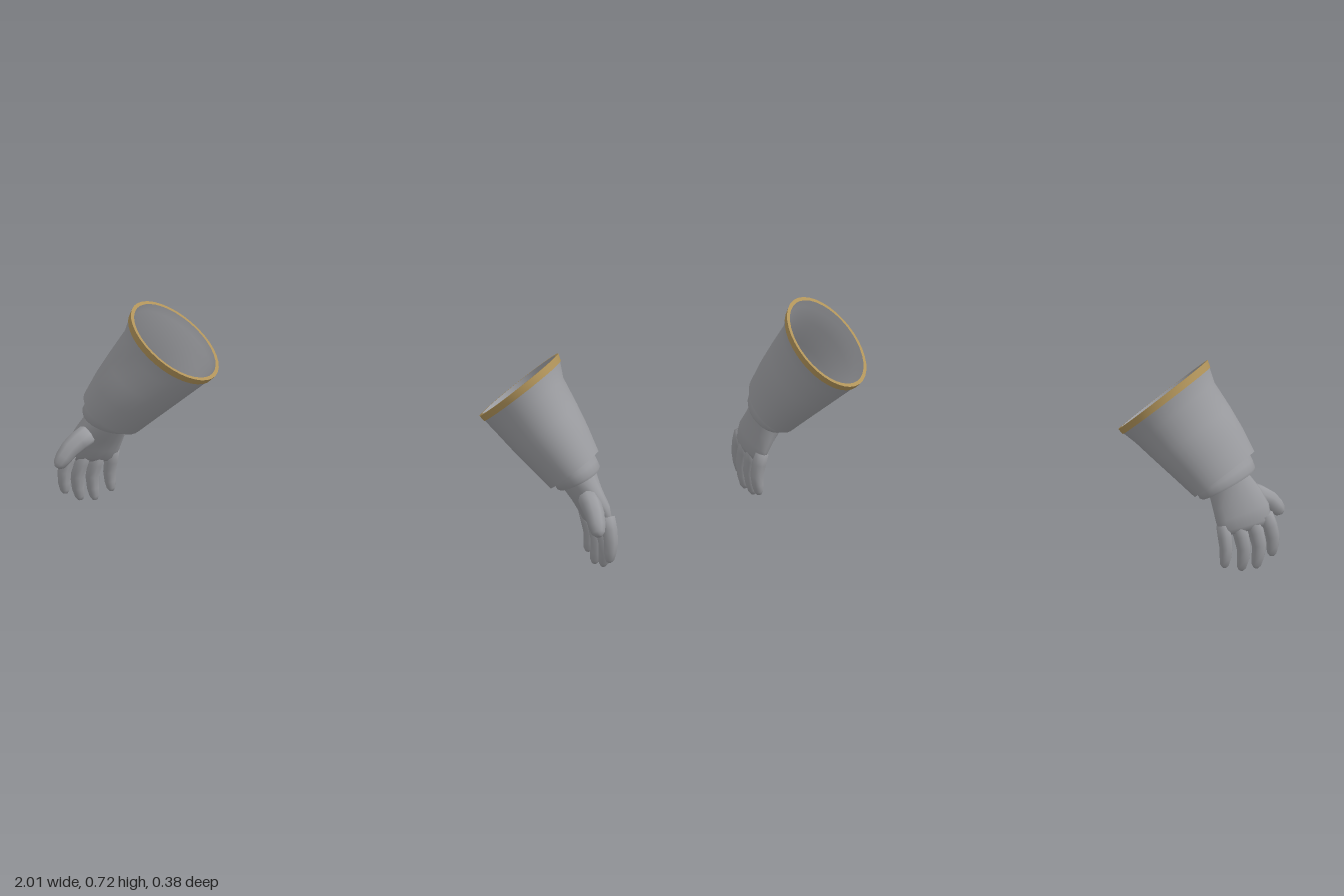
import * as THREE from 'three';
import { toCreasedNormals } from 'three/addons/utils/BufferGeometryUtils.js';

const V = (x, y, z) => new THREE.Vector3(x, y, z);
const grey = new THREE.MeshStandardMaterial({ color: 0x9b9ca0, side: THREE.DoubleSide });
grey.name = 'grey cloth';
const gold = new THREE.MeshStandardMaterial({ color: 0xb0935a, side: THREE.DoubleSide });
gold.name = 'gold trim';

// Skin elliptical rings {c, a, b} (centre and two half axes); side -1 mirrors in x.
function loft(rings, n, side, caps, crease) {
  const pos = [], idx = [];
  const d = rings[1].c.clone().sub(rings[0].c);
  const out = rings[0].a.clone().cross(rings[0].b).dot(d) * side > 0;
  const tri = (i, j, k) => (out ? idx.push(i, j, k) : idx.push(i, k, j));
  for (const { c, a, b } of rings) {
    for (let j = 0; j < n; j++) {
      const t = (j / n) * Math.PI * 2;
      const p = c.clone().addScaledVector(a, Math.cos(t)).addScaledVector(b, Math.sin(t));
      pos.push(p.x * side, p.y, p.z);
    }
  }
  for (let i = 0; i < rings.length - 1; i++) {
    for (let j = 0; j < n; j++) {
      const k = (j + 1) % n, p = i * n, q = p + n;
      tri(p + j, p + k, q + j);
      tri(p + k, q + k, q + j);
    }
  }
  if (caps) {
    [0, rings.length - 1].forEach((r, end) => {
      const m = pos.length / 3, c = rings[r].c;
      pos.push(c.x * side, c.y, c.z);
      for (let j = 0; j < n; j++) {
        const p = r * n + j, q = r * n + (j + 1) % n;
        end ? tri(m, p, q) : tri(m, q, p);
      }
    });
  }
  const g = new THREE.BufferGeometry();
  g.setAttribute('position', new THREE.Float32BufferAttribute(pos, 3));
  g.setIndex(idx);
  g.computeVertexNormals();
  return crease ? toCreasedNormals(g, crease) : g;
}

// Sleeve ring from its inner-lower and outer-upper edge points and its z range.
function sleeveRing([ax, ay, bx, by, z0, z1], inset = 0) {
  const a = V((bx - ax) / 2, (by - ay) / 2, 0);
  const b = V(0, 0, (z1 - z0) / 2).addScaledVector(a.clone().normalize(), 0.025);
  a.multiplyScalar(0.98);
  return {
    c: V((ax + bx) / 2, (ay + by) / 2, (z0 + z1) / 2),
    a: a.setLength(a.length() - inset),
    b: b.setLength(b.length() - inset),
  };
}

// Rings along a limb; each point is [x, y, z, half width, half thickness].
function limbRings(pts) {
  const across = V(0.78, 0, 0.62);
  return pts.map((p, i) => {
    const lo = pts[Math.max(i - 1, 0)], hi = pts[Math.min(i + 1, pts.length - 1)];
    const d = V(hi[0] - lo[0], hi[1] - lo[1], hi[2] - lo[2]).normalize();
    const a = across.clone().addScaledVector(d, -across.dot(d)).normalize();
    const b = d.clone().cross(a);
    return { c: V(p[0], p[1], p[2]), a: a.multiplyScalar(p[3]), b: b.multiplyScalar(p[4]) };
  });
}

// Tapered finger through base, middle and tip with a rounded end.
function fingerRings(base, mid, tip, r) {
  const curve = new THREE.CatmullRomCurve3([V(...base), V(...mid), V(...tip)]);
  const taper = [[0, 1], [0.25, 1.02], [0.5, 0.95], [0.75, 0.84], [0.92, 0.66], [1, 0.32]];
  return limbRings(taper.map(([t, k]) => [...curve.getPoint(t).toArray(), r * k, r * k]));
}

const SLEEVE = [
  [0.480, 0.480, 0.752, 0.722, -0.187, 0.172],
  [0.496, 0.464, 0.762, 0.697, -0.180, 0.168],
  [0.535, 0.432, 0.777, 0.645, -0.157, 0.162],
  [0.600, 0.378, 0.830, 0.560, -0.143, 0.167],
  [0.670, 0.320, 0.872, 0.488, -0.125, 0.164],
  [0.742, 0.260, 0.912, 0.408, -0.105, 0.157],
];
const CUFF = [
  [0.735, 0.300, 0.885, 0.415, -0.088, 0.138],
  [0.755, 0.275, 0.905, 0.375, -0.090, 0.136],
  [0.764, 0.262, 0.916, 0.352, -0.088, 0.132],
  [0.772, 0.260, 0.914, 0.340, -0.082, 0.126],
  [0.785, 0.270, 0.902, 0.336, -0.062, 0.108],
];
const PALM = [
  [0.828, 0.335, 0.025, 0.074, 0.066],
  [0.845, 0.300, 0.025, 0.077, 0.060],
  [0.872, 0.250, 0.026, 0.090, 0.047],
  [0.895, 0.205, 0.022, 0.097, 0.040],
  [0.906, 0.168, 0.020, 0.092, 0.032],
  [0.910, 0.148, 0.020, 0.074, 0.018],
];
const FINGERS = {
  thumb: [[0.895, 0.262, 0.080], [0.940, 0.222, 0.135], [0.970, 0.165, 0.177], 0.035],
  indexFinger: [[0.960, 0.195, 0.066], [0.979, 0.115, 0.083], [0.973, 0.042, 0.088], 0.026],
  middleFinger: [[0.922, 0.185, 0.035], [0.946, 0.092, 0.045], [0.935, 0.008, 0.042], 0.027],
  ringFinger: [[0.885, 0.172, 0.003], [0.905, 0.085, 0.010], [0.893, 0.003, 0.014], 0.026],
  littleFinger: [[0.845, 0.172, -0.028], [0.860, 0.092, -0.036], [0.852, 0.024, -0.034], 0.024],
};

function buildArm(side) {
  const arm = new THREE.Group();
  arm.name = side > 0 ? 'leftArm' : 'rightArm';
  const add = (name, geometry, material = grey) => {
    const m = new THREE.Mesh(geometry, material);
    m.name = name;
    arm.add(m);
  };

  // Hollow sleeve: outer wall, lower lip, inner wall
  const outer = SLEEVE.slice(1).map((s) => sleeveRing(s, 0.003));
  const inner = SLEEVE.map((s) => sleeveRing(s, 0.013)).reverse();
  add('sleeve', loft([...outer, ...inner], 36, side, false, 0.8));

  // Gold band around the opening
  const [top, low] = SLEEVE;
  add('sleeveTrim', loft([sleeveRing(top), sleeveRing(low), sleeveRing(low, 0.008)], 36, side, false, 0.8), gold);
  add('trimEdge', loft([sleeveRing(top, 0.013), sleeveRing(top)], 36, side, false, 0.8), gold);

  // Glove: cuff, palm, fingers
  add('gloveCuff', loft(CUFF.map((s) => sleeveRing(s)), 24, side, true, 0.9));
  add('palm', loft(limbRings(PALM), 16, side, true));
  for (const [name, f] of Object.entries(FINGERS)) add(name, loft(fingerRings(...f), 8, side, true));
  return arm;
}

export function createModel() {
  const model = new THREE.Group();
  model.name = 'glovedArms';
  for (const side of [1, -1]) model.add(buildArm(side));
  return model;
}
